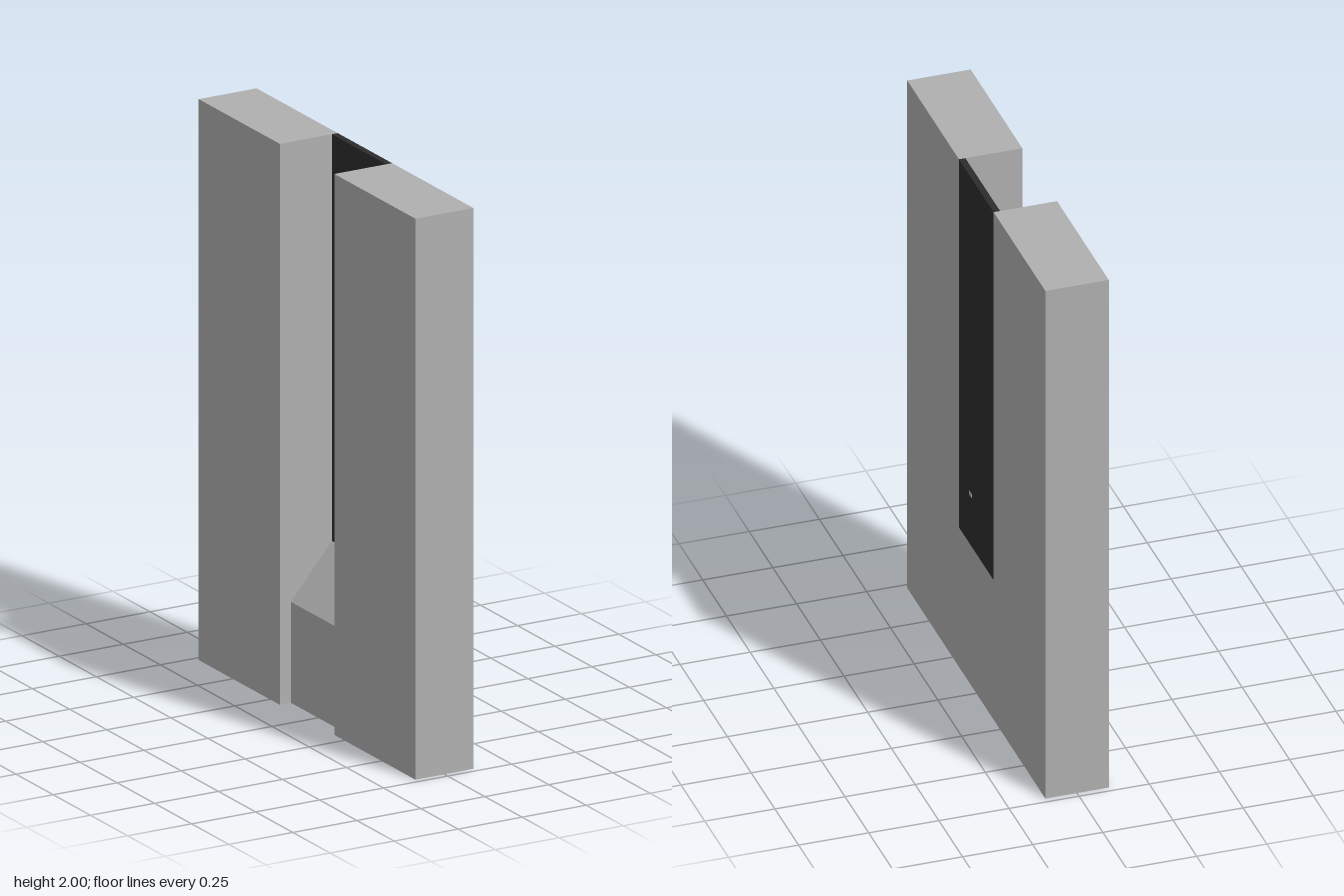
import * as THREE from 'three';

export function createModel() {
  const group = new THREE.Group();
  const grey = new THREE.MeshStandardMaterial({ color: 0xb0b0b0 });
  grey.name = 'grey';
  const black = new THREE.MeshStandardMaterial({ color: 0x2d2d2d });
  black.name = 'black';

  const X = 0.113, Z = 0.728, SLOT = 0.183, H = 2, SILL = 0.55;

  const add = (name, geometry, material, x = 0, y = 0, z = 0) => {
    const mesh = new THREE.Mesh(geometry, material);
    mesh.name = name;
    mesh.position.set(x, y, z);
    group.add(mesh);
  };

  // Full-height slabs on either side of the slot
  for (const [name, side] of [['frontSlab', 1], ['backSlab', -1]]) {
    add(name, new THREE.BoxGeometry(2 * X, H, Z - SLOT), grey, 0, H / 2, side * (Z + SLOT) / 2);
  }

  // Recessed base of the slot with a sloped sill
  const profile = new THREE.Shape([
    [-0.07, 0], [X, 0], [X, SILL], [0.09, SILL], [-0.07, 0.36],
  ].map(([x, y]) => new THREE.Vector2(x, y)));
  add('slopedSill', new THREE.ExtrudeGeometry(profile, { depth: 2 * SLOT, bevelEnabled: false }),
    grey, 0, 0, -SLOT);

  // Thin dark pane closing the slot, flush with the left face
  add('darkPane', new THREE.BoxGeometry(X - 0.09, H - SILL, 2 * SLOT), black,
    (X + 0.09) / 2, (H + SILL) / 2, 0);

  // Tiny pale fleck on the pane
  add('paneFleck', new THREE.BoxGeometry(0.002, 0.015, 0.025), grey, X, 0.75, 0.06);

  return group;
}
